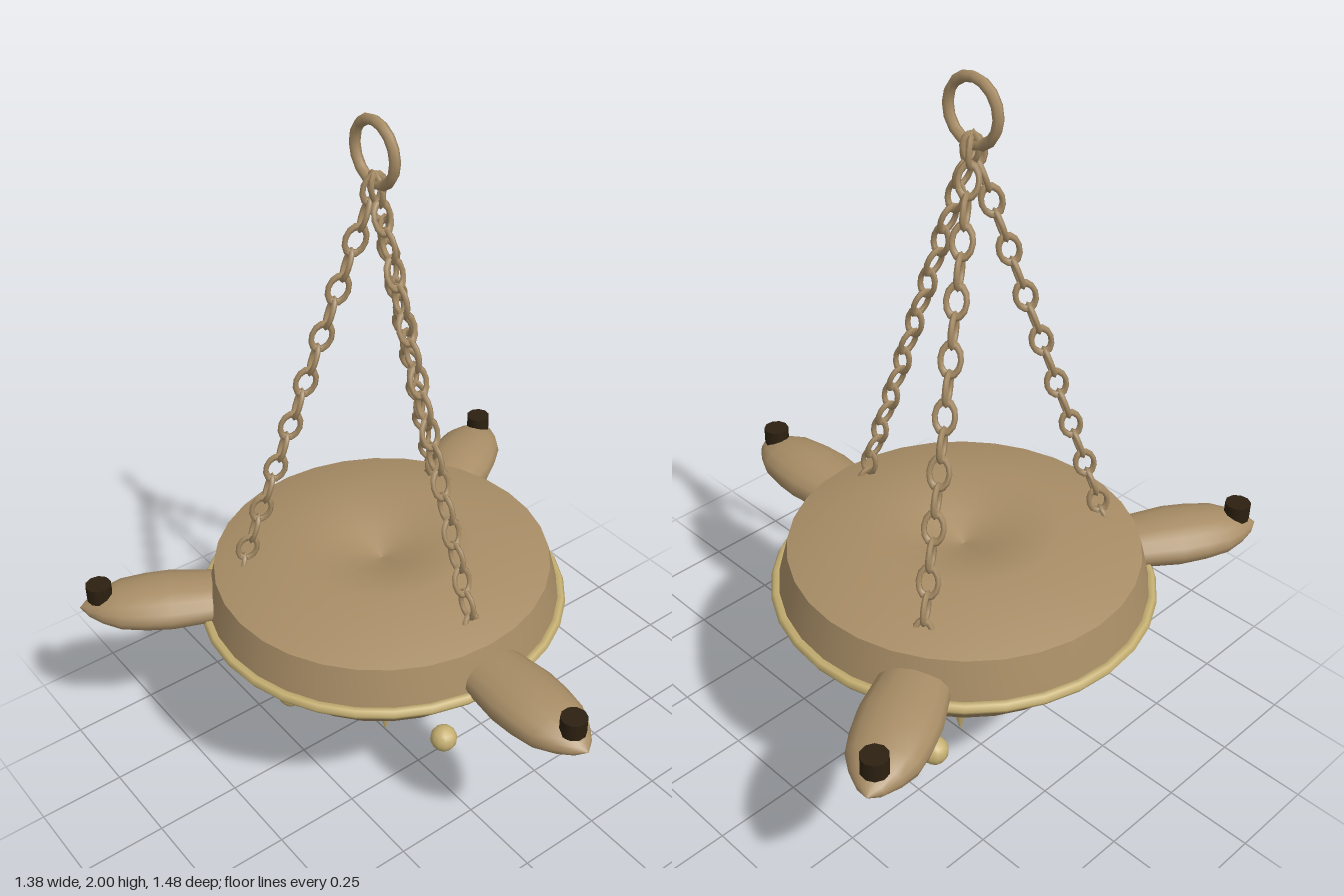
import * as THREE from 'three';

const AXIS_X = -0.165; // the lamp hangs on this vertical axis

const mat = (name, color, side = THREE.FrontSide) => {
  const m = new THREE.MeshStandardMaterial({ color, side });
  m.name = name;
  return m;
};

const lathe = (pts, segments) =>
  new THREE.LatheGeometry(pts.map(([r, y]) => new THREE.Vector2(r, y)), segments);

export function createModel() {
  const bronze = mat('bronze', 0xa88d66);
  const brass = mat('brass', 0xc6b072);
  const soot = mat('soot', 0x2c2010);

  const model = new THREE.Group();
  model.name = 'hangingOilLamp';
  const lamp = new THREE.Group();
  lamp.name = 'lamp';
  lamp.position.x = AXIS_X;
  model.add(lamp);

  const add = (parent, name, geometry, material, x = 0, y = 0, z = 0) => {
    const mesh = new THREE.Mesh(geometry, material);
    mesh.name = name;
    mesh.position.set(x, y, z);
    parent.add(mesh);
    return mesh;
  };

  // Bowl: separate lathes keep the edges between them sharp
  add(lamp, 'bowlBase', lathe([[0, 0.325], [0.19, 0.325]], 32), bronze);
  add(lamp, 'bowlUnderside', lathe([[0.19, 0.325], [0.41, 0.45], [0.475, 0.525], [0.505, 0.575]], 32), bronze);
  add(lamp, 'bowlWall', lathe([[0.505, 0.575], [0.495, 0.62], [0.475, 0.70]], 32), bronze);
  add(lamp, 'bowlTop', lathe([[0.475, 0.70], [0.255, 0.765], [0.1, 0.725], [0, 0.69]], 32), bronze);

  // Brass band around the widest line
  const band = new THREE.TorusGeometry(0.508, 0.016, 6, 32).rotateX(Math.PI / 2);
  add(lamp, 'band', band, brass, 0, 0.578, 0);

  // Pointed finial underneath
  add(lamp, 'finial', lathe([[0, 0], [0.03, 0.11], [0.06, 0.26], [0.04, 0.33]], 12), brass);

  // Hanging ring
  add(lamp, 'hangingRing', new THREE.TorusGeometry(0.079, 0.014, 6, 16), bronze, 0, 1.907, 0);

  // Spout: flattened lathe lying along +x
  const spoutGeo = lathe([
    [0.075, 0.38], [0.095, 0.48], [0.108, 0.6], [0.104, 0.67],
    [0.092, 0.74], [0.066, 0.79], [0.035, 0.83], [0, 0.855],
  ], 16).rotateZ(-Math.PI / 2);
  spoutGeo.scale(1, 0.6, 1);
  const wickGeo = new THREE.CylinderGeometry(0.036, 0.036, 0.05, 10);
  const ballGeo = new THREE.SphereGeometry(0.04, 12, 8);

  // Chain link: a torus stretched along the chain (local y)
  const linkGeo = new THREE.TorusGeometry(0.025, 0.0075, 5, 12);
  linkGeo.scale(1, 1.5, 1);
  const chainTop = new THREE.Vector3(0.004, 1.816, 0);
  const chainEnd = new THREE.Vector3(0.398, 0.703, 0);
  const lean = Math.atan2(chainEnd.x - chainTop.x, chainTop.y - chainEnd.y);
  const LINKS = 18;

  // Three identical arms, each with a spout, wick, drop and chain
  for (let i = 0; i < 3; i++) {
    const arm = new THREE.Group();
    arm.name = `arm${i + 1}`;
    arm.rotation.y = (i * Math.PI * 2) / 3;
    lamp.add(arm);

    add(arm, 'spout', spoutGeo, bronze, 0, 0.607, 0);
    add(arm, 'wick', wickGeo, soot, 0.795, 0.66, 0);
    add(arm, 'drop', ballGeo, brass, 0.285, 0.195, 0);

    const chain = new THREE.Group();
    chain.name = 'chain';
    arm.add(chain);
    for (let k = 0; k < LINKS; k++) {
      const link = add(chain, 'link', linkGeo, bronze);
      link.position.lerpVectors(chainTop, chainEnd, k / (LINKS - 1));
      // Alternate links are turned a quarter about the chain
      link.rotation.set(0, (k % 2) * Math.PI / 2, lean, 'ZYX');
    }
  }
  return model;
}
